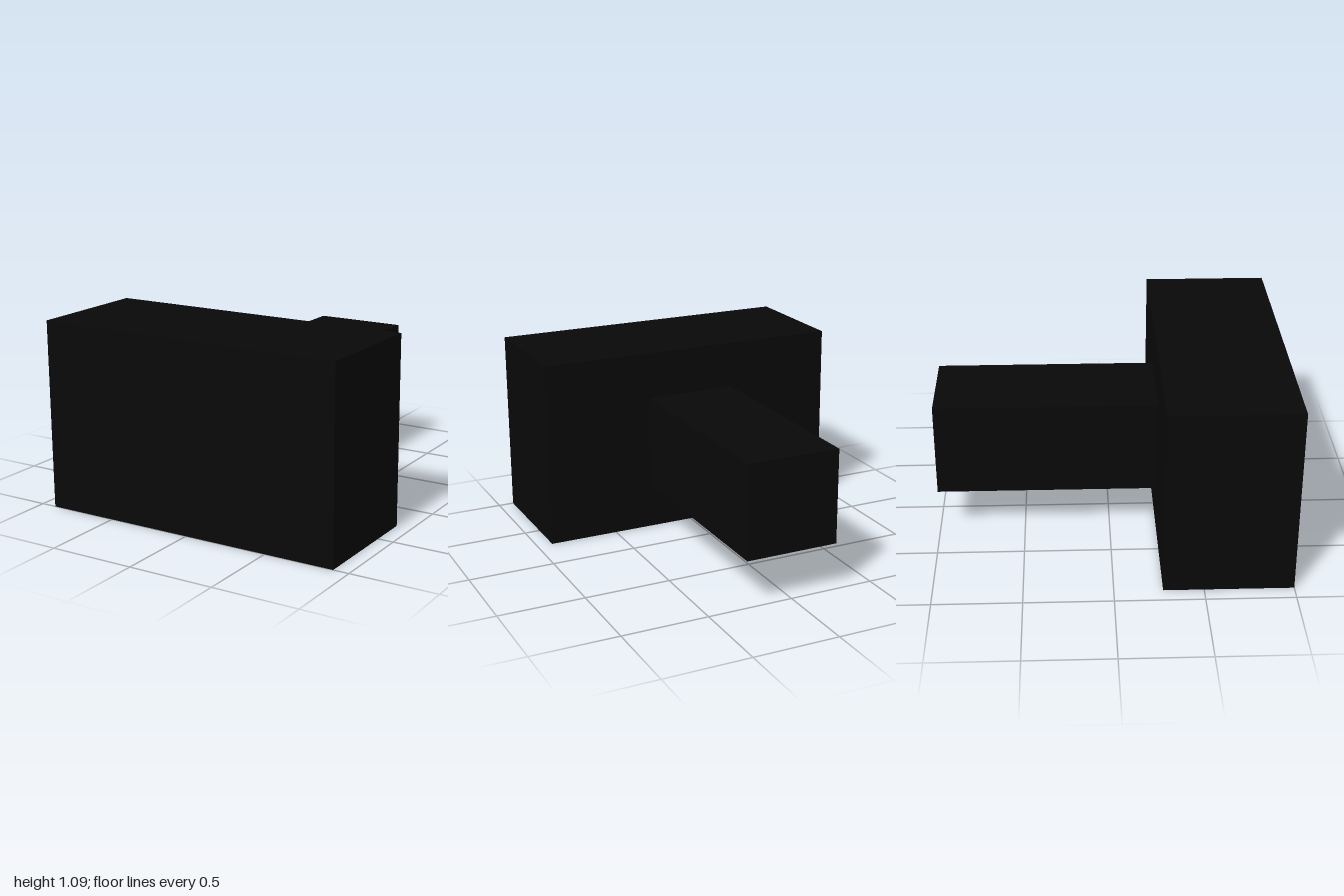
import * as THREE from 'three';

export function createModel() {
  const group = new THREE.Group();
  const material = new THREE.MeshStandardMaterial({ color: 0x080808 });
  const u = 1 / 11; // modelling unit: the whole length is 22 units

  function addBlock(name, width, height, zBack, zFront) {
    const geometry = new THREE.BoxGeometry(width * u, height * u, (zFront - zBack) * u);
    const mesh = new THREE.Mesh(geometry, material);
    mesh.name = name;
    mesh.position.set(0, 6 * u, (zFront + zBack) / 2 * u);
    group.add(mesh);
  }

  // Wide block at the front
  addBlock('head', 20, 12, 3, 11);
  // Square bar running back from the middle of the head
  addBlock('shaft', 6, 6, -11, 3);

  return group;
}
